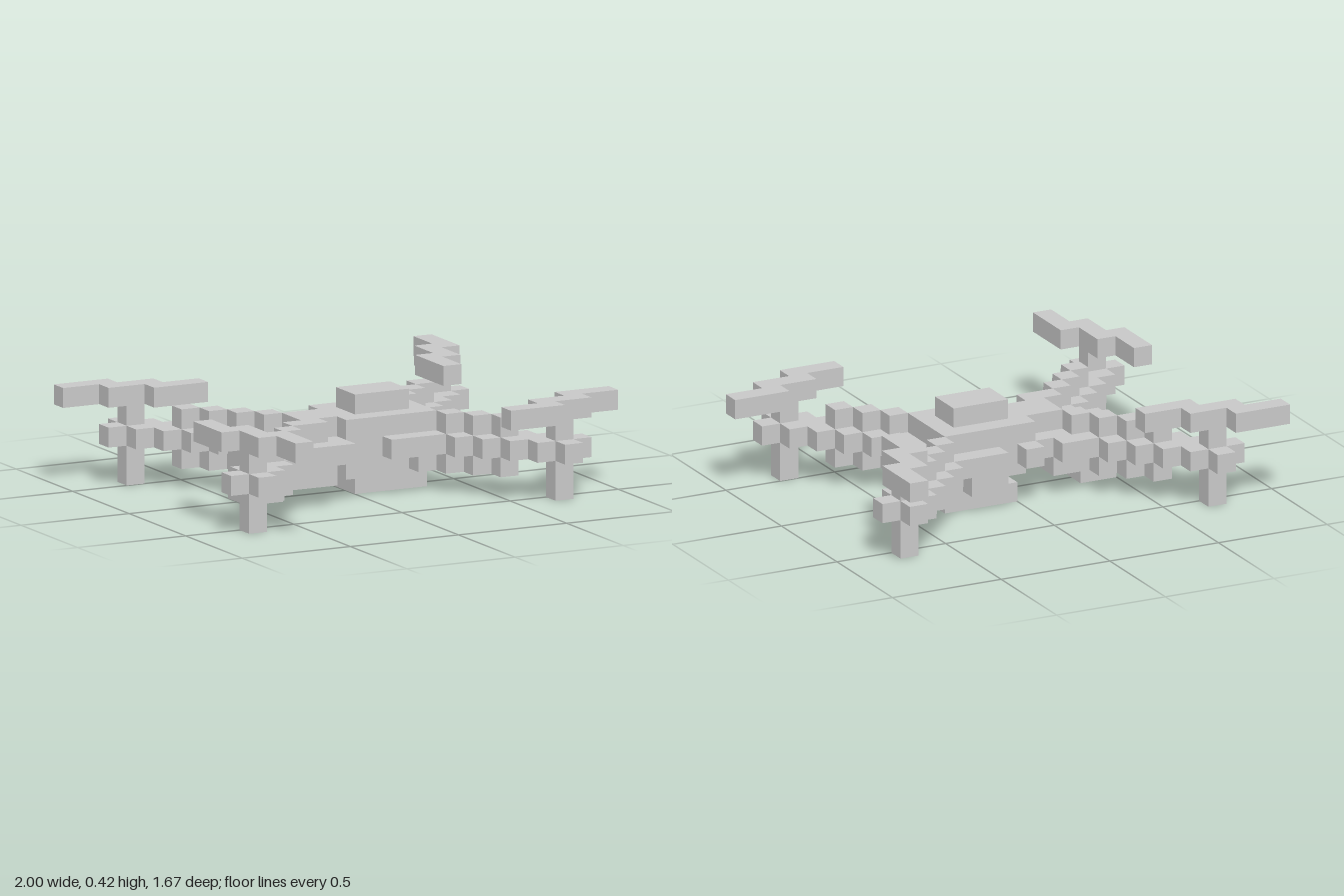
import * as THREE from 'three';

const U = 1 / 12; // edge of one block

export function createModel() {
  const model = new THREE.Group();
  model.name = 'blockDrone';
  const grey = new THREE.MeshStandardMaterial({ color: 0xc8c8c8 });
  grey.name = 'bodyGrey';

  // box given by its min and max corners in block units
  const block = (parent, name, x0, x1, y0, y1, z0, z1) => {
    const mesh = new THREE.Mesh(
      new THREE.BoxGeometry((x1 - x0) * U, (y1 - y0) * U, (z1 - z0) * U), grey);
    mesh.position.set((x0 + x1) / 2 * U, (y0 + y1) / 2 * U, (z0 + z1) / 2 * U);
    mesh.name = name;
    parent.add(mesh);
  };
  const group = (name) => {
    const g = new THREE.Group();
    g.name = name;
    model.add(g);
    return g;
  };

  // hull with its lower shells, notches and side bulges
  const body = group('body');
  block(body, 'core', -3, 4, 2, 4, -1, 1);
  block(body, 'midDeck', -5, 5, 2, 3, -2, 2);
  block(body, 'topFront', -4, -2, 3, 4, 1, 2);
  block(body, 'topFrontTail', -1, 4, 3, 4, 1, 2);
  block(body, 'topBack', -4, -3, 3, 4, -2, -1);
  block(body, 'topBackTail', -1, 4, 3, 4, -2, -1);
  block(body, 'lowerNose', -4, -2, 1, 2, -2, 2);
  block(body, 'lowerTail', -1, 4, 1, 2, -1, 1);
  block(body, 'lowerTailFront', -1, 2, 1, 2, 1, 2);
  block(body, 'lowerTailBack', 1, 4, 1, 2, -2, -1);
  block(body, 'frontNosePanel', -4, -1, 2, 3, 2, 3);
  block(body, 'frontNoseSkirt', -4, -2, 1, 2, 2, 3);
  block(body, 'backNosePanel', -4, -2, 2, 3, -3, -2);
  block(body, 'backPeg', -1, 0, 2, 3, -3, -2);
  block(body, 'frontTailPanel', 1, 5, 2, 3, 2, 3);
  block(body, 'backTailPanel', 1, 3, 1, 3, -3, -2);
  block(body, 'hatch', 0, 3, 4, 5, -1, 1);
  block(body, 'battery', 0, 4, 0, 1, -2, 1);

  // camera hanging under the nose
  const camera = group('camera');
  block(camera, 'cameraHousing', -6, -4, 0, 3, -1, 1);

  for (const sx of [1, -1]) for (const sz of [1, -1]) {
    const side = (sz > 0 ? 'front' : 'back') + (sx > 0 ? 'Left' : 'Right');

    // stepped diagonal arm of crossed blocks
    const arm = group(side + 'Arm');
    for (let i = 3; i <= 6; i++) {
      const x = sx * (i + 0.5), z = sz * (i - 1.5);
      block(arm, 'armCore', x - 0.5, x + 0.5, 1, 4, z - 0.5, z + 0.5);
      block(arm, 'armAcross', x - 1.5, x + 1.5, 2, 3, z - 0.5, z + 0.5);
      block(arm, 'armAlong', x - 0.5, x + 0.5, 2, 3, z - 1.5, z + 1.5);
    }
    block(arm, 'armEnd', sx * 7.5 - 0.5, sx * 7.5 + 0.5, 2, 3, sz * 5.5 - 0.5, sz * 5.5 + 0.5);

    // motor collar and landing leg
    const x = sx * 8.5, z = sz * 6.5;
    const motor = group(side + 'Motor');
    block(motor, 'leg', x - 0.5, x + 0.5, 0, 4, z - 0.5, z + 0.5);
    block(motor, 'collarAcross', x - 1.5, x + 1.5, 2, 3, z - 0.5, z + 0.5);
    block(motor, 'collarAlong', x - 0.5, x + 0.5, 2, 3, z - 1.5, z + 1.5);

    // stepped rotor: hub with two offset blades, turned a quarter on alternate corners
    const rotor = group(side + 'Rotor');
    for (const k of [-1, 0, 1]) {
      const name = k ? 'blade' : 'hub', step = -sx * k;
      if (sx === sz) {
        const cx = x + 2 * k, cz = z + step;
        block(rotor, name, cx - 1.5, cx + 1.5, 4, 5, cz - 0.5, cz + 0.5);
      } else {
        const cx = x + step, cz = z + 2 * k;
        block(rotor, name, cx - 0.5, cx + 0.5, 4, 5, cz - 1.5, cz + 1.5);
      }
    }
  }
  return model;
}
